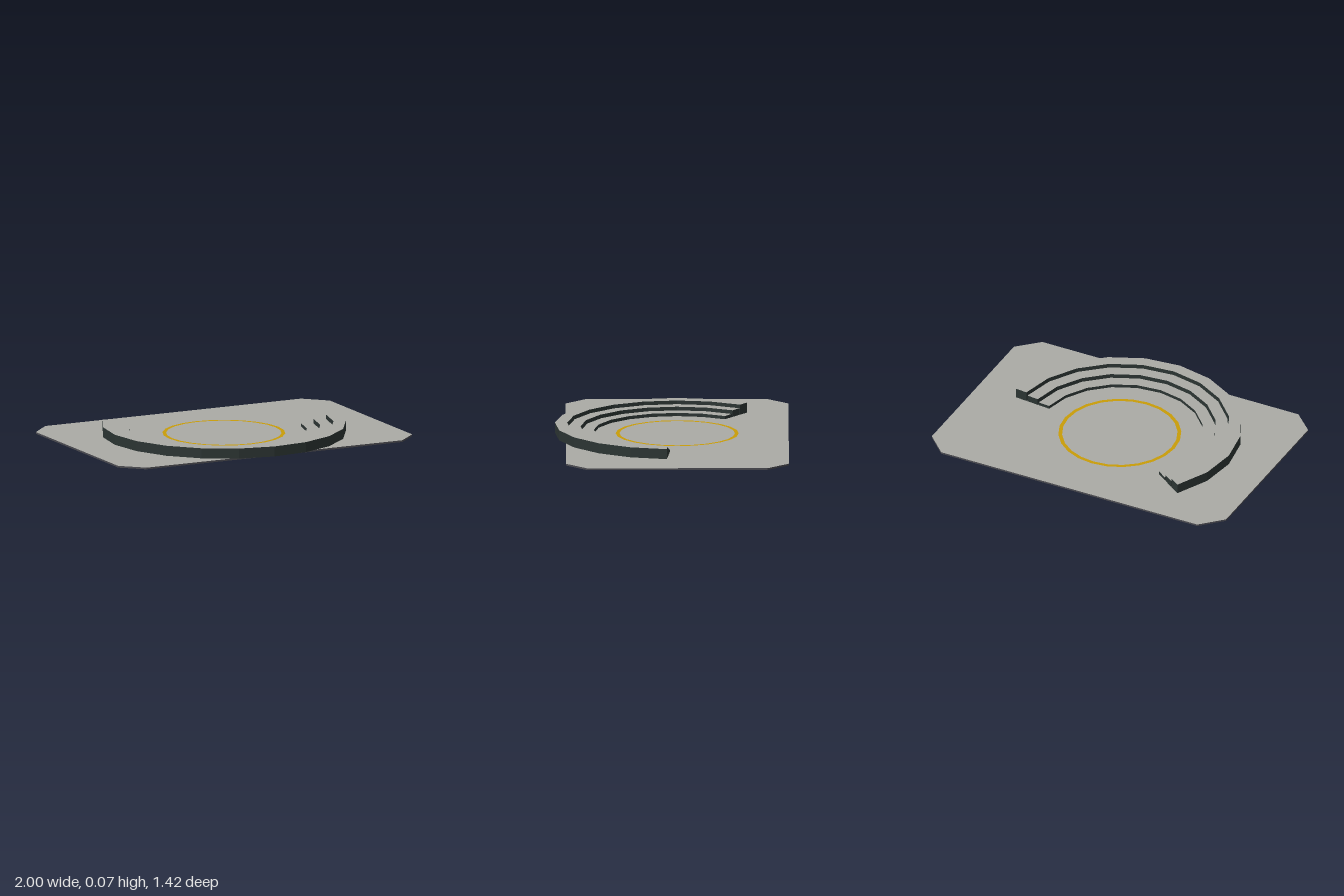
import * as THREE from 'three';

const CENTRE_Z = -0.035; // centre of the ring and the stepped seating

const material = (name, color, extra = {}) => {
  const m = new THREE.MeshStandardMaterial({ color, ...extra });
  m.name = name;
  return m;
};

// Upright prism from [x, z] points: pale lid, darker sides and underside
function slab(name, points, y0, y1, topMaterial, sideMaterial) {
  const shape = new THREE.Shape(points.map(([x, z]) => new THREE.Vector2(x, -z)));
  const geometry = new THREE.ExtrudeGeometry(shape, { depth: y1 - y0, bevelEnabled: false });
  geometry.rotateX(-Math.PI / 2).translate(0, y0, 0);
  // Cap triangles come first: underside, then lid, then the walls
  const lid = geometry.groups[0].count / 2;
  const total = geometry.attributes.position.count;
  geometry.clearGroups();
  geometry.addGroup(0, lid, 1);
  geometry.addGroup(lid, lid, 0);
  geometry.addGroup(lid * 2, total - lid * 2, 1);
  const mesh = new THREE.Mesh(geometry, [topMaterial, sideMaterial]);
  mesh.name = name;
  return mesh;
}

// Outline of a faceted arc band, from 5 to 215 degrees
function arcBand(inner, outer, segments = 12) {
  const point = (r, i) => {
    const a = THREE.MathUtils.degToRad(5 + (210 * i) / segments);
    return [r * Math.cos(a), CENTRE_Z + r * Math.sin(a)];
  };
  const points = [];
  for (let i = 0; i <= segments; i++) points.push(point(outer, i));
  for (let i = segments; i >= 0; i--) points.push(point(inner, i));
  return points;
}

export function createModel() {
  const model = new THREE.Group();
  model.name = 'steppedArena';
  const stone = material('pale stone', 0xaaaaa5);
  const base = material('dark base', 0x4a4a50);
  const riser = material('dark riser', 0x2b3432);
  const gold = material('gold', 0xc89c08);

  // Floor plate with clipped corners
  const floor = [
    [-0.87, -0.71], [0.87, -0.71], [1, -0.58], [1, 0.515],
    [0.87, 0.64], [-0.87, 0.64], [-1, 0.515], [-1, -0.58],
  ];
  model.add(slab('floorPlate', floor, 0, 0.011, stone, base));

  // Three curved steps rising outwards, with a narrow gap between them
  const seating = new THREE.Group();
  seating.name = 'steppedSeating';
  for (let i = 0; i < 3; i++) {
    const inner = 0.505 + i * 0.081;
    seating.add(slab(`step${i + 1}`, arcBand(inner, inner + 0.074),
      0.011, 0.031 + i * 0.021, stone, riser));
  }
  model.add(seating);

  // Painted circle on the floor
  const ring = new THREE.Mesh(new THREE.RingGeometry(0.35, 0.373, 24), gold);
  ring.name = 'floorCircle';
  ring.rotation.x = -Math.PI / 2;
  ring.position.set(0, 0.0135, CENTRE_Z);
  model.add(ring);

  return model;
}
